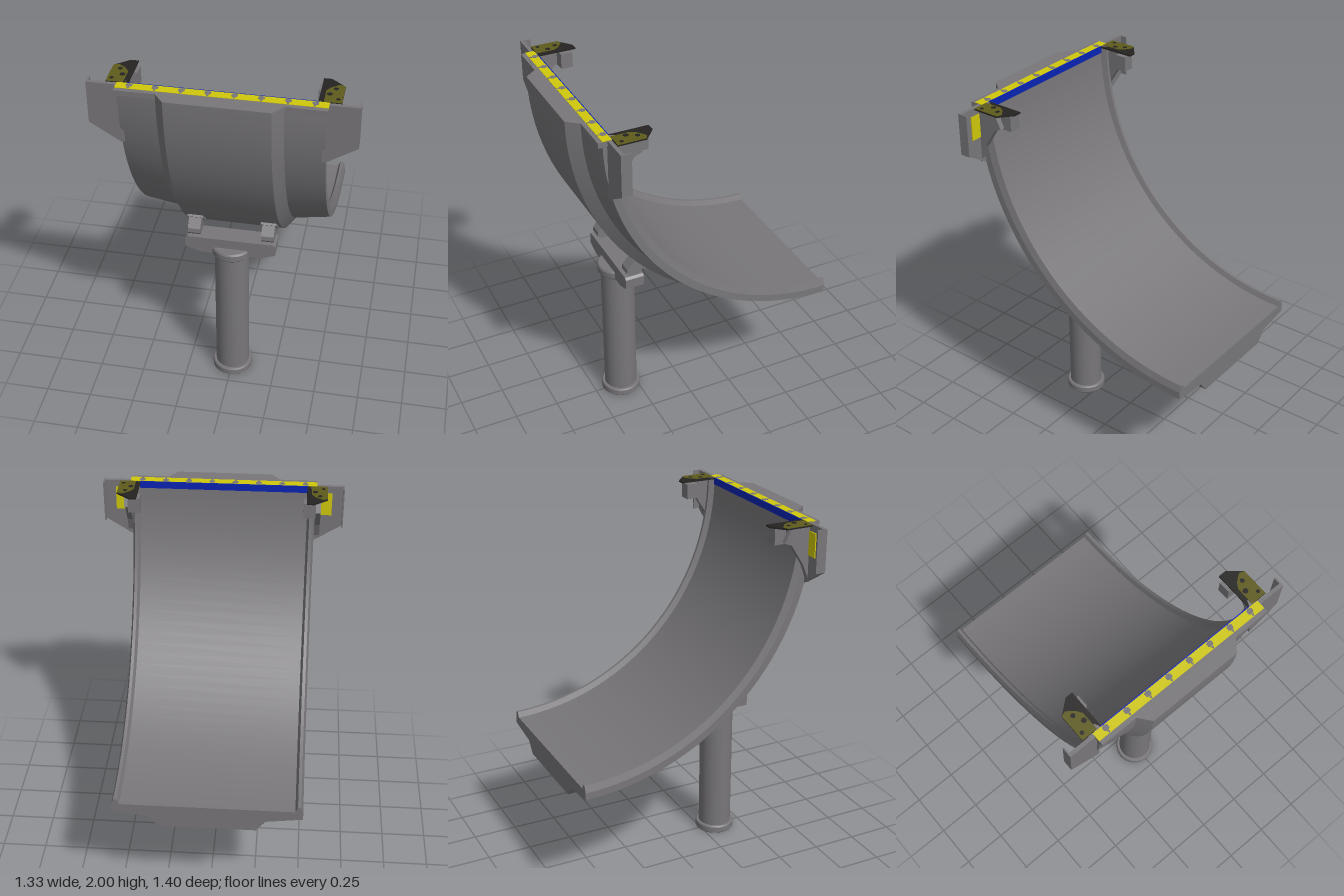
import * as THREE from 'three';
import { toCreasedNormals } from 'three/addons/utils/BufferGeometryUtils.js';

const mat = (name, color) => {
  const m = new THREE.MeshStandardMaterial({ color });
  m.name = name;
  return m;
};

export function createModel() {
  const root = new THREE.Group();
  const gray = mat('metalGray', 0x787679);
  const yellow = mat('warningYellow', 0xd0c80c);
  const blue = mat('stripBlue', 0x0a24b4);
  const black = mat('plateBlack', 0x242322);
  const olive = mat('markingOlive', 0x5e5b1c);

  const add = (name, geo, material, parent = root) => {
    const m = new THREE.Mesh(geo, material);
    m.name = name;
    parent.add(m);
    return m;
  };
  const box = (name, x0, x1, y0, y1, z0, z1, material, parent) =>
    add(name, new THREE.BoxGeometry(x1 - x0, y1 - y0, z1 - z0)
      .translate((x0 + x1) / 2, (y0 + y1) / 2, (z0 + z1) / 2), material, parent);
  const shapeOf = pts => new THREE.Shape(pts.map(p => new THREE.Vector2(p[0], p[1])));
  const extrude = (pts, depth) =>
    new THREE.ExtrudeGeometry(shapeOf(pts), { depth, bevelEnabled: false });
  // outline in (z, y), thickness along x
  const sidePlate = (pts, x0, x1) =>
    extrude(pts.map(([z, y]) => [-z, y]), x1 - x0).rotateY(Math.PI / 2).translate(x0, 0, 0);
  // outline in (x, z), thickness along y
  const flatPlate = (pts, y0, y1) =>
    extrude(pts.map(([x, z]) => [x, -z]), y1 - y0).rotateX(-Math.PI / 2).translate(0, y0, 0);

  // Ramp: cross-section (x, radius) swept through a quarter circle
  const AXIS_Z = -0.7, TOP = 2, STEPS = 32;
  const half = [[0.26, 1.4], [0.31, 1.337], [0.507, 1.31], [0.507, 1.27],
    [0.495, 1.232], [0.478, 1.232], [0.465, 1.262]];
  const section = [...half, ...half.map(([x, r]) => [-x, r]).reverse()];
  const pos = [], index = [];
  section.forEach((p, i) => {
    const q = section[(i + 1) % section.length];
    const base = pos.length / 3;
    for (let s = 0; s <= STEPS; s++) {
      const t = (s / STEPS) * Math.PI / 2;
      for (const [x, r] of [p, q]) pos.push(x, TOP - r * Math.sin(t), AXIS_Z + r * Math.cos(t));
      if (s < STEPS) {
        const a = base + s * 2;
        index.push(a, a + 2, a + 3, a, a + 3, a + 1);
      }
    }
  });
  const sweep = new THREE.BufferGeometry();
  sweep.setAttribute('position', new THREE.Float32BufferAttribute(pos, 3));
  sweep.setIndex(index);
  sweep.computeVertexNormals();
  const ramp = new THREE.Group();
  ramp.name = 'ramp';
  root.add(ramp);
  add('rampShell', sweep, gray, ramp);
  add('rampLowerEnd', new THREE.ShapeGeometry(shapeOf(section))
    .rotateX(Math.PI).translate(0, TOP, AXIS_Z), gray, ramp);
  add('rampUpperEnd', new THREE.ShapeGeometry(shapeOf(section.map(([x, r]) => [x, -r])))
    .rotateX(-Math.PI / 2).translate(0, TOP, AXIS_Z), gray, ramp);

  // Upper lip with warning strip, dots and blue inner band
  box('upperLip', -0.515, 0.515, 1.97, 1.999, 0.565, 0.636, gray);
  box('yellowStrip', -0.515, 0.515, 1.995, 2.002, 0.564, 0.613, yellow);
  box('blueStrip', -0.465, 0.465, 1.962, 2.001, 0.558, 0.564, blue);
  for (let i = 0; i < 8; i++) {
    const x = -0.45 + i * 0.1286;
    add('stripDot', new THREE.CylinderGeometry(0.018, 0.018, 0.002, 6)
      .translate(x, 2.002, 0.582), gray);
    add('stripDotSmall', new THREE.CylinderGeometry(0.009, 0.009, 0.002, 3)
      .translate(x, 2.002, 0.605), gray);
  }

  // Side wings with brackets and marked top plates
  for (const s of [1, -1]) {
    const side = new THREE.Group();
    side.name = s > 0 ? 'leftWing' : 'rightWing';
    root.add(side);
    const mx = pts => pts.map(([x, z]) => [s * x, z]);
    const sbox = (name, x0, x1, y0, y1, z0, z1, m) =>
      box(name, Math.min(s * x0, s * x1), Math.max(s * x0, s * x1), y0, y1, z0, z1, m, side);

    add('wingPanel', extrude(mx([[0.49, 2], [0.49, 1.67], [0.507, 1.67], [0.665, 1.77], [0.665, 2]]),
      0.02).translate(0, 0, 0.566), gray, side);
    sbox('wingFlange', 0.657, 0.665, 1.77, 2, 0.53, 0.57, gray);
    sbox('wingYellowPanel', 0.54, 0.6, 1.83, 1.96, 0.56, 0.567, yellow);

    const g0 = s > 0 ? 0.508 : -0.538;
    add('gusset', sidePlate([[0.575, 1.99], [0.46, 1.99], [0.42, 1.91], [0.46, 1.895],
      [0.535, 1.78], [0.575, 1.68]], g0, g0 + 0.03), gray, side);
    sbox('clampBlock', 0.445, 0.51, 1.9, 1.985, 0.375, 0.44, gray);

    add('topPlate', flatPlate(mx([[0.46, 0.56], [0.572, 0.56], [0.572, 0.41], [0.5, 0.35],
      [0.46, 0.35]]), 1.992, 2), black, side);
    add('topMarking', flatPlate(mx([[0.485, 0.56], [0.572, 0.56], [0.572, 0.41], [0.545, 0.4],
      [0.505, 0.43], [0.485, 0.46]]), 1.999, 2.002), olive, side);
    for (const [x, z, r] of [[0.53, 0.44, 0.013], [0.505, 0.49, 0.015], [0.55, 0.53, 0.011]])
      add('markingSpot', new THREE.CylinderGeometry(r, r, 0.002, 6)
        .translate(s * x, 2.002, z), black, side);
  }

  // Pedestal: round post with collars and hollow foot
  const post = [[0, 0.02], [0.088, 0.02], [0.088, 0], [0.107, 0], [0.112, 0.006], [0.112, 0.038],
    [0.107, 0.045], [0.094, 0.045], [0.094, 0.85], [0.107, 0.85], [0.112, 0.857],
    [0.112, 0.89], [0.105, 0.9], [0, 0.9]].map(p => new THREE.Vector2(...p));
  add('post', toCreasedNormals(new THREE.LatheGeometry(post, 32), 0.5)
    .translate(0, 0, 0.342), gray);

  // Cross beam with chamfered ends
  const beamHalf = [[0.1, 0.86], [0.165, 0.86], [0.245, 0.888], [0.247, 0.945], [0.235, 0.957]];
  add('crossBeam', extrude([...beamHalf, ...beamHalf.map(([x, y]) => [-x, y]).reverse()], 0.106)
    .translate(0, 0, 0.292), gray);

  // Feet joining beam and ramp
  for (const s of [1, -1]) {
    add('rampFoot', sidePlate([[0.365, 0.95], [0.385, 0.975], [0.382, 1.0], [0.335, 1.055],
      [0.275, 1.01], [0.32, 0.95]], s * 0.2 - 0.034, s * 0.2 + 0.034), gray);
    const pad = add('footPad', new THREE.BoxGeometry(0.085, 0.02, 0.1), gray);
    pad.position.set(s * 0.2, 1.026, 0.308);
    pad.rotation.x = -0.8;
  }
  return root;
}
